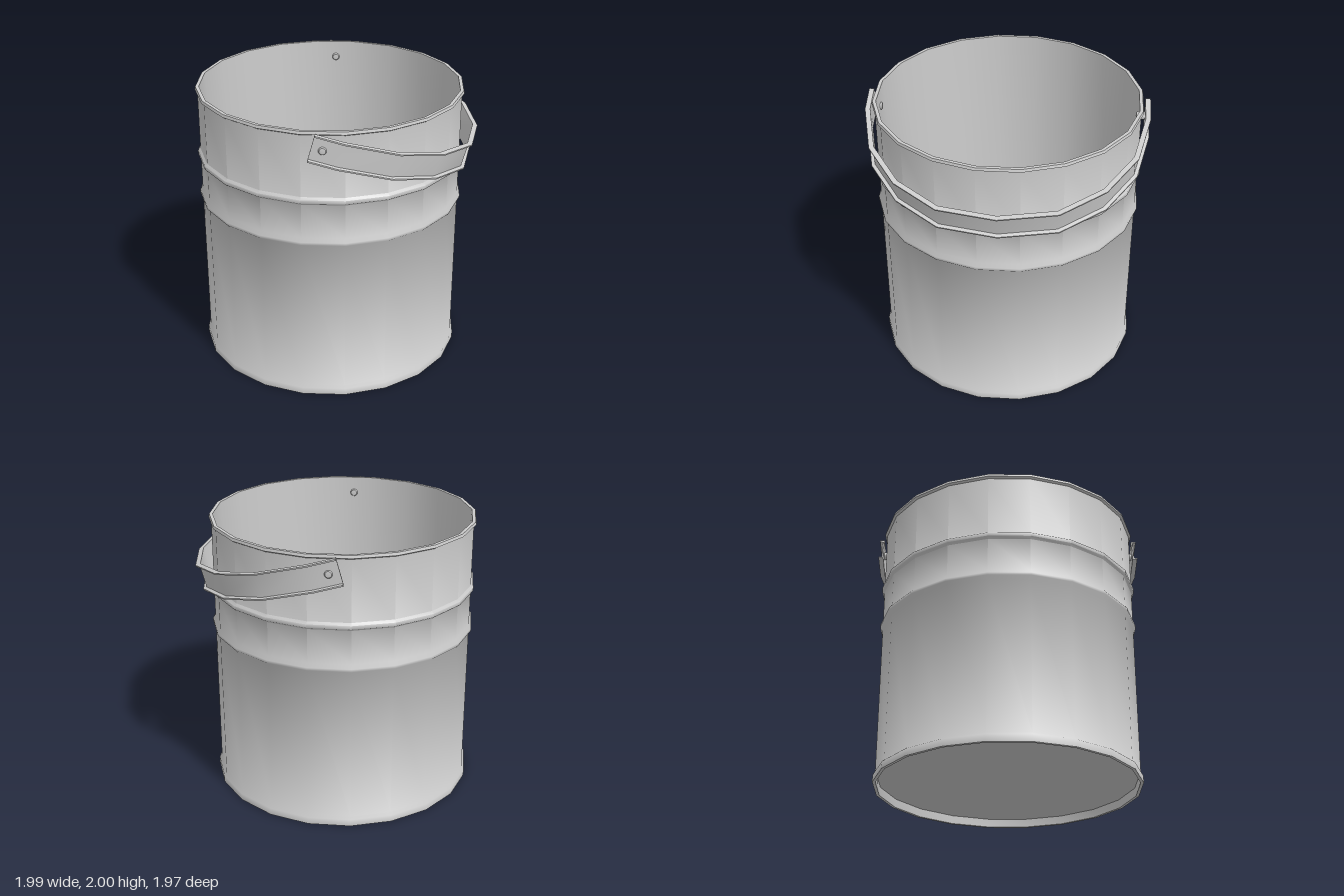
import * as THREE from 'three';
import { toCreasedNormals } from 'three/addons/utils/BufferGeometryUtils.js';

const CENTRE_X = -0.057;
const PIVOT_Y = 1.88;

// Sweep a closed section (outward offset, height) along a plan path (x, z).
function sweep(path, section, caps) {
  const pos = [], idx = [], m = section.length, last = path.length - 1;
  const edgeNormal = (a, b) => new THREE.Vector2(-(b[1] - a[1]), b[0] - a[0]).normalize();
  path.forEach((p, i) => {
    const n0 = edgeNormal(path[Math.max(i - 1, 0)], path[Math.max(i, 1)]);
    const n1 = edgeNormal(path[Math.min(i, last - 1)], path[Math.min(i + 1, last)]);
    const n = n0.clone().add(n1).normalize();
    n.divideScalar(n.dot(n0)); // mitre at the bend
    for (const [o, v] of section) pos.push(p[0] + n.x * o, v, p[1] + n.y * o);
  });
  for (let i = 0; i < last; i++) {
    for (let j = 0; j < m; j++) {
      const a = i * m + j, d = i * m + (j + 1) % m;
      idx.push(a, a + m, d + m, a, d + m, d);
    }
  }
  const e = last * m;
  for (const [a, b, c, d] of caps) {
    idx.push(a, b, c, a, c, d);
    idx.push(e + c, e + b, e + a, e + d, e + c, e + a);
  }
  const g = new THREE.BufferGeometry();
  g.setAttribute('position', new THREE.Float32BufferAttribute(pos, 3));
  g.setIndex(idx);
  return toCreasedNormals(g.toNonIndexed(), 0.5);
}

export function createModel() {
  const model = new THREE.Group();
  const grey = new THREE.MeshStandardMaterial({ color: 0xcccccc });
  const add = (name, geometry, parent = model) => {
    const mesh = new THREE.Mesh(geometry, grey);
    mesh.name = name;
    parent.add(mesh);
    return mesh;
  };

  // Twenty-sided shell: recessed underside, outer wall with beads, tapered inside, floor
  const profile = [
    [0, 0.06], [0.92, 0.06], [0.925, 0], [0.947, 0], [0.947, 0.05], [0.93, 0.065],
    [0.93, 1.17], [0.948, 1.19], [0.948, 1.21], [0.93, 1.235],
    [0.93, 1.48], [0.948, 1.495], [0.948, 1.52], [0.93, 1.535],
    [0.93, 1.97], [0.947, 1.98], [0.942, 2], [0.918, 2],
    [0.857, 0.08], [0, 0.08],
  ].map(([r, y]) => new THREE.Vector2(r, y));
  const shell = new THREE.LatheGeometry(profile, 20, Math.PI / 20);
  add('bucketShell', toCreasedNormals(shell.toNonIndexed(), 0.9)).position.x = CENTRE_X;

  // Handle: a channel strip with outward flanges, resting tilted to one side
  const handle = new THREE.Group();
  handle.name = 'handle';
  handle.position.set(CENTRE_X, PIVOT_Y, 0);
  handle.rotation.z = THREE.MathUtils.degToRad(-15.5);
  model.add(handle);

  const half = [[-0.075, 0.985], [0.127, 0.985], [0.49, 0.905], [0.79, 0.7], [0.998, 0.4]];
  const path = [...half, [1.063, 0], ...half.map(([x, z]) => [x, -z]).reverse()];
  const section = [
    [-0.025, -0.08], [-0.025, 0.08], [0, 0.084], [0, 0.094],
    [-0.035, 0.094], [-0.035, -0.094], [0, -0.094], [0, -0.084],
  ];
  add('handleStrip', sweep(path, section, [[1, 2, 3, 4], [0, 1, 4, 5], [0, 5, 6, 7]]), handle);

  // Pivot rivets through the wall, slightly domed at both ends
  const rivetProfile = [[0, -0.042], [0.022, -0.039], [0.028, -0.03], [0.028, 0.03], [0.022, 0.039], [0, 0.042]]
    .map(([r, y]) => new THREE.Vector2(r, y));
  for (const side of [1, -1]) {
    const rivet = add(side > 0 ? 'frontRivet' : 'backRivet',
      toCreasedNormals(new THREE.LatheGeometry(rivetProfile, 12).toNonIndexed(), 0.6), handle);
    rivet.rotation.x = Math.PI / 2;
    rivet.position.z = side * 0.93;
  }
  return model;
}
